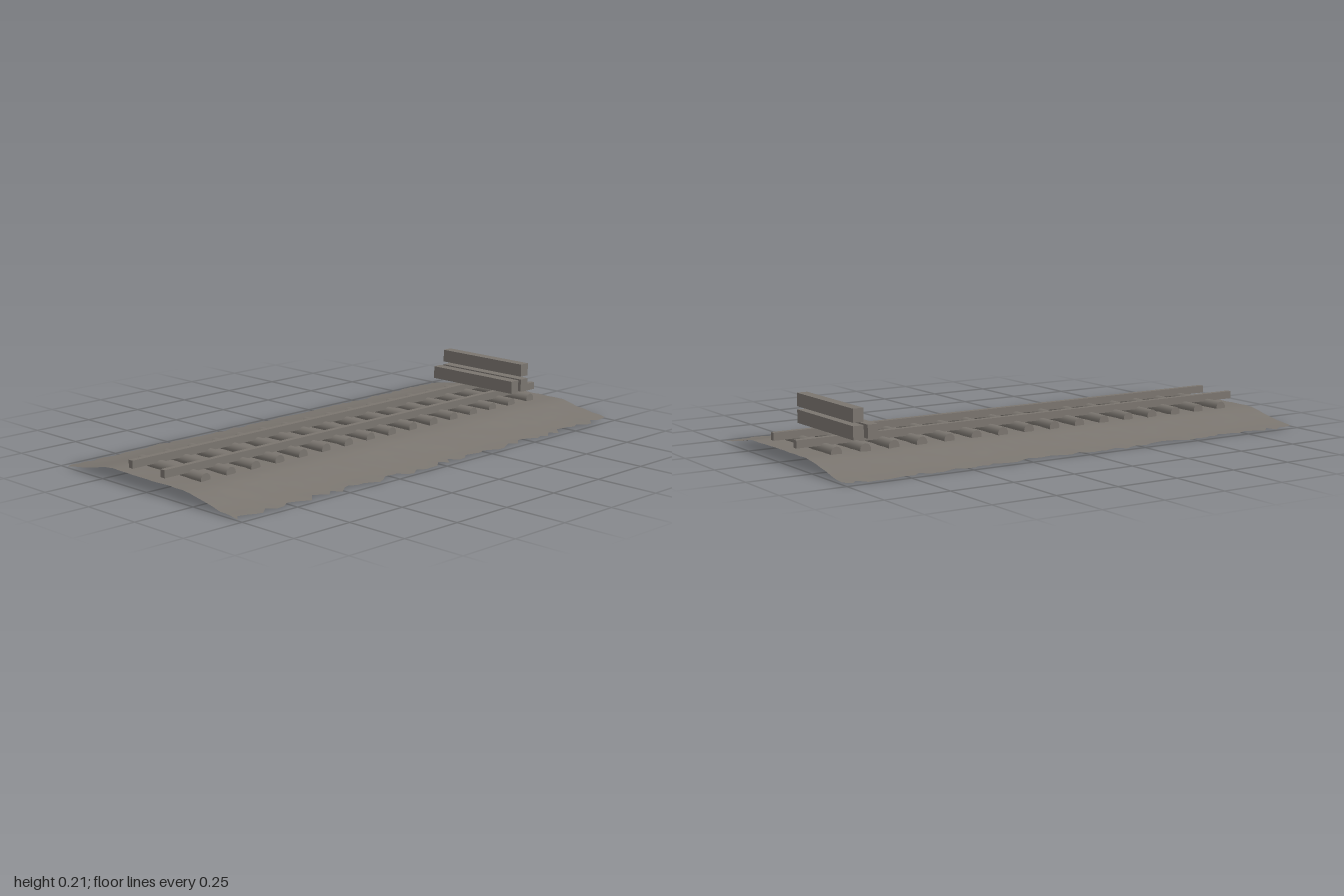
import * as THREE from 'three';

const weathered = new THREE.MeshStandardMaterial({ color: 0x7a756f, side: THREE.DoubleSide });
weathered.name = 'weathered grey';

// Small seeded noise
let seed = 7;
const rand = () => ((seed = (seed * 16807) % 2147483647) / 2147483647);

function add(group, name, geometry, x, y, z) {
  const mesh = new THREE.Mesh(geometry, weathered);
  mesh.name = name;
  mesh.position.set(x, y, z);
  group.add(mesh);
  return mesh;
}

// Height of the embankment: flat crown, then a slope easing out
const slope = [[0, 0.047], [0.22, 0.047], [0.3, 0.032], [0.4, 0.013], [0.49, 0.002]];
function embankmentHeight(x) {
  const a = Math.abs(x);
  for (let i = 1; i < slope.length; i++) {
    const [x0, y0] = slope[i - 1], [x1, y1] = slope[i];
    if (a <= x1) return y0 + ((y1 - y0) * (a - x0)) / (x1 - x0);
  }
  return 0.002;
}

// Thin ground sheet with ragged long edges
function groundGeometry() {
  const cols = 24, rows = 66;
  const geo = new THREE.PlaneGeometry(0.93, 2, cols, rows).rotateX(-Math.PI / 2);
  const p = geo.attributes.position;
  for (let r = 0; r <= rows; r++) {
    for (let c = 0; c <= cols; c++) {
      const i = r * (cols + 1) + c;
      let x = p.getX(i), z = p.getZ(i);
      if (c === 0) x = -0.456 - 0.031 * rand();
      if (c === cols) x = 0.448 + 0.036 * rand();
      if (r > 0 && r < rows) z += (rand() - 0.5) * 0.012;
      else z -= Math.sign(z) * rand() * 0.006;
      const bump = (rand() - 0.5) * 0.003 + 0.001 * Math.sin(z * 9 + x * 7);
      p.setXYZ(i, x, Math.max(0, embankmentHeight(x) + bump), z);
    }
  }
  geo.computeVertexNormals();
  return geo;
}

export function createModel() {
  const model = new THREE.Group();
  model.name = 'railwayTrackEnd';

  add(model, 'embankment', groundGeometry(), 0, 0, 0);

  // Round log sleepers
  const sleepers = new THREE.Group();
  sleepers.name = 'sleepers';
  model.add(sleepers);
  const log = new THREE.CylinderGeometry(0.022, 0.022, 0.356, 16).rotateZ(Math.PI / 2);
  for (let i = 0; i < 16; i++) add(sleepers, 'sleeper', log, -0.02, 0.053, -0.876 + i * 0.116);

  // Two square rails
  const rail = new THREE.BoxGeometry(0.022, 0.029, 1.976);
  add(model, 'rightRail', rail, -0.101, 0.0805, 0);
  add(model, 'leftRail', rail, 0.076, 0.0805, 0);

  // Stacked beams of the buffer stop
  const beam = new THREE.BoxGeometry(0.424, 0.05, 0.042);
  add(model, 'frontBeam', beam, -0.034, 0.125, -0.756);
  add(model, 'rearBeam', beam, -0.034, 0.125, -0.814);
  add(model, 'topBeam', beam, -0.034, 0.187, -0.814);

  return model;
}
